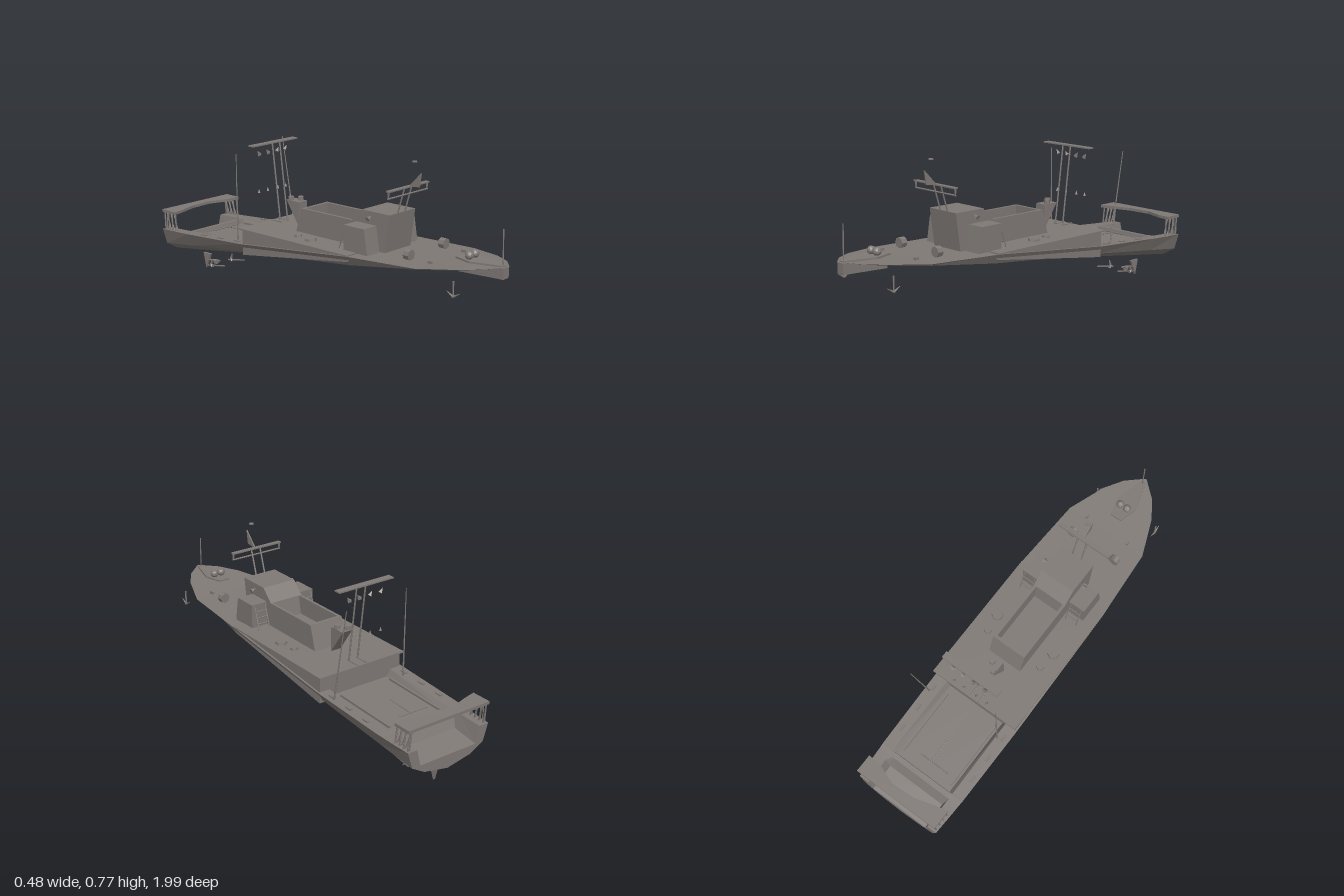
import * as THREE from 'three';

export function createModel() {
  const root = new THREE.Group();
  const grey = new THREE.MeshStandardMaterial({ color: 0x7f7975, side: THREE.DoubleSide, flatShading: true });
  grey.name = 'warm grey';

  const add = (name, geo, x = 0, y = 0, z = 0) => {
    const m = new THREE.Mesh(geo, grey);
    m.name = name;
    m.position.set(x, y, z);
    root.add(m);
    return m;
  };
  const box = (name, w, h, d, x, y, z) => add(name, new THREE.BoxGeometry(w, h, d), x, y, z);
  const rod = (name, a, b, r = 0.003, r2 = r) => {
    const A = new THREE.Vector3(...a), B = new THREE.Vector3(...b);
    const m = add(name, new THREE.CylinderGeometry(r2, r, A.distanceTo(B), 6));
    m.position.copy(A).add(B).multiplyScalar(0.5);
    m.quaternion.setFromUnitVectors(new THREE.Vector3(0, 1, 0), B.sub(A).normalize());
    return m;
  };
  const shapeOf = pts => new THREE.Shape(pts.map(p => new THREE.Vector2(...p)));
  // side profile given as (z, y), extruded across x
  const profile = (name, pts, width, x) => {
    const g = new THREE.ExtrudeGeometry(shapeOf(pts.map(([z, y]) => [-z, y])), { depth: width, bevelEnabled: false });
    g.rotateY(Math.PI / 2);
    g.translate(x - width / 2, 0, 0);
    return add(name, g);
  };
  // plan outline given as (x, z), extruded upwards
  const plan = (name, pts, height, y) => {
    const g = new THREE.ExtrudeGeometry(shapeOf(pts.map(([x, z]) => [x, -z])), { depth: height, bevelEnabled: false });
    g.rotateX(-Math.PI / 2);
    return add(name, g, 0, y, 0);
  };
  // skin over rows of points
  const loft = (name, rows) => {
    const pos = [];
    for (let i = 0; i + 1 < rows.length; i++)
      for (let j = 0; j + 1 < rows[i].length; j++) {
        const a = rows[i][j], b = rows[i][j + 1], c = rows[i + 1][j + 1], d = rows[i + 1][j];
        pos.push(...a, ...b, ...c, ...a, ...c, ...d);
      }
    const g = new THREE.BufferGeometry();
    g.setAttribute('position', new THREE.Float32BufferAttribute(pos, 3));
    g.computeVertexNormals();
    return add(name, g);
  };
  const mirrored = (half, z) => [
    ...half.slice().reverse().map(([x, y]) => [-x, y, z]),
    ...half.filter(p => p[0] > 0).map(([x, y]) => [x, y, z])];

  // hull: z, then half section from keel to rail
  const stations = [
    [-1, [0, 0.105], [0.13, 0.13], [0.2, 0.17], [0.225, 0.25]],
    [-0.8, [0, 0.137], [0.133, 0.158], [0.206, 0.195], [0.235, 0.26]],
    [-0.4, [0, 0.2], [0.135, 0.215], [0.217, 0.245], [0.24, 0.285]],
    [0.28, [0, 0.29], [0.13, 0.297], [0.215, 0.312], [0.24, 0.357]],
    [0.65, [0, 0.35], [0.11, 0.353], [0.18, 0.358], [0.217, 0.372]],
    [0.83, [0, 0.377], [0.08, 0.378], [0.13, 0.381], [0.145, 0.387]],
    [0.92, [0, 0.389], [0.04, 0.39], [0.07, 0.391], [0.085, 0.394]],
    [0.99, [0, 0.4], [0.001, 0.4], [0.002, 0.4], [0.003, 0.4]]];
  loft('hull', stations.map(([z, ...h]) => mirrored(h, z)).reverse());
  loft('foredeck', stations.slice(2).map(([z, , , , [x, y]]) => [[-x, y, z], [x, y, z]]).reverse());

  // aft deck with a shallow well and a stern tray open to the rear
  const aft = [[-1, 0.225, 0.25, 0.17], [-0.87, 0.232, 0.256, 0.19], [-0.84, 0.233, 0.258, 0.258],
    [-0.815, 0.235, 0.26, 0.26], [-0.81, 0.235, 0.26, 0.238], [-0.4, 0.24, 0.285, 0.252]];
  loft('aftDeck', aft.map(([z, x, y, f]) => mirrored([[0, f], [0.155, f], [0.175, y], [x, y]], z)).reverse());
  const stern = [[0, 0.105], [0.13, 0.13], [0.2, 0.17], [0.225, 0.25], [0.175, 0.25], [0.155, 0.17]];
  const tm = add('transom', new THREE.ShapeGeometry(shapeOf(
    [...stern, ...stern.slice(1).reverse().map(([x, y]) => [-x, y])])), 0, 0, -1);
  tm.scale.x = -1;

  // raised midship house and its overhanging deck plate
  profile('midshipHouse', [[-0.4, 0.23], [0.28, 0.33], [0.31, 0.356], [-0.4, 0.356]], 0.46, 0);
  box('midshipDeck', 0.48, 0.007, 0.7, 0, 0.359, -0.065);

  // bridge and open cockpit behind it
  profile('bridge', [[0.38, 0.36], [0.405, 0.54], [0.24, 0.54], [0.18, 0.48], [0.16, 0.36]], 0.18, 0);
  for (const s of [-1, 1])
    profile('cockpitWall', [[0.2, 0.36], [0.2, 0.48], [-0.14, 0.48], [-0.175, 0.36]], 0.014, s * 0.083);
  profile('cockpitRearWall', [[-0.125, 0.36], [-0.125, 0.48], [-0.14, 0.48], [-0.175, 0.36]], 0.16, 0);
  box('cockpitFloor', 0.16, 0.01, 0.34, 0, 0.385, 0.02);

  for (const s of [-1, 1]) {
    // side lockers with ladders behind
    profile('sideLocker', [[0.35, 0.36], [0.33, 0.48], [0.21, 0.48], [0.21, 0.36]], 0.085, s * 0.136);
    for (const x of [0.105, 0.165]) rod('ladderRail', [s * x, 0.362, 0.17], [s * x, 0.475, 0.207]);
    for (let i = 1; i < 4; i++)
      rod('ladderRung', [s * 0.105, 0.362 + i * 0.028, 0.17 + i * 0.009], [s * 0.165, 0.362 + i * 0.028, 0.17 + i * 0.009]);
    // foredeck drums
    add('deckDrum', new THREE.CylinderGeometry(0.025, 0.025, 0.03, 8), s * 0.125, 0.395, 0.545).rotation.x = Math.PI / 2;
    // bow bitts
    add('bowBitt', new THREE.IcosahedronGeometry(0.02, 1), s * 0.02, 0.418, 0.795);
    // hatches on the midship deck
    add('deckHatch', new THREE.CylinderGeometry(0.028, 0.03, 0.012, 6), s * 0.165, 0.368, -0.01);
    add('deckVent', new THREE.CylinderGeometry(0.018, 0.02, 0.012, 6), s * 0.155, 0.368, -0.1);
    add('sideLamp', new THREE.ConeGeometry(0.013, 0.028, 4), s * 0.107, 0.515, 0.3).rotation.z = s * 1.2;
    // anchors
    rod('anchorShank', [s * 0.175, 0.345, 0.83], [s * 0.175, 0.28, 0.83], 0.004);
    rod('anchorArm', [s * 0.175, 0.275, 0.83], [s * 0.175, 0.295, 0.865], 0.006, 0.001);
    rod('anchorArm', [s * 0.175, 0.275, 0.83], [s * 0.175, 0.295, 0.795], 0.006, 0.001);
    // small deck fittings
    for (const z of [-0.46, -0.58, -0.7]) box('cleat', 0.014, 0.014, 0.035, s * 0.208, 0.28 + (z + 0.46) * 0.06, z);
    box('foredeckCleat', 0.012, 0.012, 0.02, s * 0.12, 0.382, 0.66);
    // well edging
    box('wellRail', 0.01, 0.01, 0.34, s * 0.14, 0.255, -0.61).rotation.x = -0.035;
    // stern arch trusses
    for (let i = 0; i < 4; i++) {
      const z = -0.905 - i * 0.027;
      rod('archPost', [s * 0.215, 0.25, z], [s * 0.212, 0.342, z - 0.008], 0.004);
      rod('archBrace', [s * 0.205, 0.25, z], [s * 0.2, 0.342, Math.max(z - 0.035, -0.99)], 0.003);
    }
    // propellers, shafts and brackets
    rod('propellerShaft', [s * 0.07, 0.075, -0.71], [s * 0.07, 0.055, -0.83], 0.004);
    for (let k = 0; k < 3; k++) {
      const a = k * Math.PI * 2 / 3 + Math.PI / 2;
      rod('propellerBlade', [s * 0.07, 0.065, -0.81], [s * 0.07 + Math.cos(a) * 0.007, 0.065 + Math.sin(a) * 0.027, -0.8], 0.007, 0.003);
    }
  }
  plan('sternArch', [[-0.225, -1], [0.225, -1], [0.225, -0.91], [0.16, -0.915], [0.06, -0.95],
    [-0.06, -0.945], [-0.16, -0.915], [-0.225, -0.9]], 0.014, 0.34);

  // well boom
  rod('boom', [0, 0.262, -0.75], [0, 0.27, -0.61]);
  rod('boomCross', [-0.1, 0.262, -0.75], [0.06, 0.262, -0.75]);

  // rudder and centre shaft
  profile('rudder', [[-0.885, 0.09], [-0.94, 0.09], [-0.92, 0.01]], 0.012, 0);
  rod('centreShaft', [0, 0.065, -0.82], [0, 0.055, -0.91], 0.005);
  add('centreScrew', new THREE.CylinderGeometry(0.014, 0.014, 0.015, 6), 0, 0.055, -0.85).rotation.x = Math.PI / 2;

  // bow platform, stem beam and staff
  plan('bowPlatform', [[-0.03, 0.73], [0.03, 0.73], [0.055, 0.82], [0.012, 0.97], [-0.012, 0.97], [-0.055, 0.82]], 0.008, 0.395);
  profile('stemBeam', [[0.975, 0.345], [0.975, 0.395], [0.74, 0.375], [0.74, 0.335]], 0.04, 0);
  rod('jackstaff', [0, 0.4, 0.958], [0, 0.56, 0.955]);
  rod('bittBar', [-0.025, 0.418, 0.795], [0.025, 0.418, 0.795], 0.005);

  // forward mast with two crossbars
  for (const x of [-0.025, 0.025]) rod('foreMastPost', [x, 0.53, 0.395], [x, 0.66, 0.435], 0.004);
  box('foreMastYard', 0.28, 0.006, 0.022, -0.007, 0.663, 0.44);
  rod('foreMastLowerBar', [-0.147, 0.63, 0.44], [0.132, 0.63, 0.44], 0.004);
  for (const x of [-0.142, 0.128]) rod('yardHanger', [x, 0.63, 0.44], [x, 0.66, 0.44], 0.003, 0.006);
  profile('mastBracket', [[0.44, 0.663], [0.5, 0.668], [0.51, 0.735]], 0.006, 0);
  add('mastLamp', new THREE.CylinderGeometry(0.012, 0.012, 0.005, 8), 0, 0.78, 0.47);

  // aft mast with hanging cones
  for (const x of [-0.025, 0.025]) rod('aftMastPost', [x, 0.36, -0.345], [x, 0.75, -0.395], 0.004);
  box('aftMastYard', 0.305, 0.006, 0.035, -0.005, 0.751, -0.41);
  for (const x of [-0.09, -0.03, 0.04, 0.095]) {
    add('signalCone', new THREE.ConeGeometry(0.012, 0.026, 4), x, 0.708, -0.425).rotation.z = x < 0 ? 0.6 : -0.6;
    add('lowerSignalCone', new THREE.ConeGeometry(0.008, 0.02, 4), x, 0.52, -0.425);
  }

  // whip aerials
  rod('rightAerial', [-0.185, 0.275, -0.48], [-0.187, 0.71, -0.48], 0.004, 0.002);
  rod('leftAerial', [0.215, 0.28, -0.485], [0.215, 0.73, -0.565], 0.004, 0.002);

  // twin mount behind the cockpit
  profile('mountBase', [[-0.215, 0.36], [-0.215, 0.485], [-0.3, 0.485]], 0.055, 0);
  for (const x of [-0.015, 0.015])
    add('mountDrum', new THREE.CylinderGeometry(0.014, 0.014, 0.02, 8), x, 0.493, x > 0 ? -0.245 : -0.28);
  for (const x of [-0.025, 0.025]) rod('mountRail', [x, 0.365, -0.34], [x, 0.365, -0.41], 0.004);
  return root;
}
